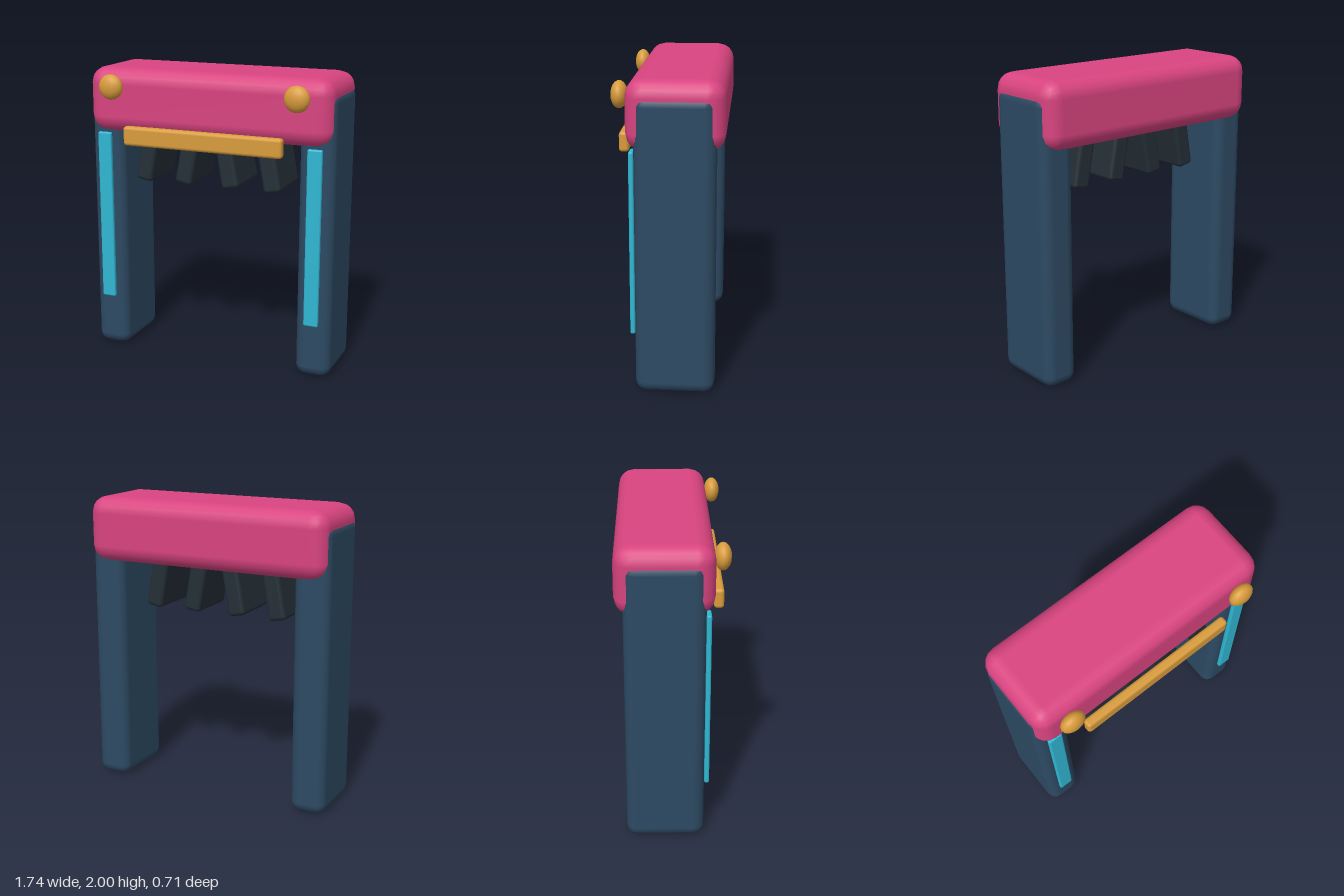
import * as THREE from 'three';
import { RoundedBoxGeometry } from 'three/addons/geometries/RoundedBoxGeometry.js';

function material(name, color) {
  const m = new THREE.MeshStandardMaterial({ color });
  m.name = name;
  return m;
}

export function createModel() {
  const model = new THREE.Group();
  model.name = 'gate';
  const pink = material('pink', 0xd94480);
  const navy = material('navy', 0x2d4a63);
  const gold = material('gold', 0xd99c3c);
  const cyan = material('cyan', 0x30b8d4);
  const charcoal = material('charcoal', 0x242f37);

  const add = (name, geometry, mat, x, y, z) => {
    const mesh = new THREE.Mesh(geometry, mat);
    mesh.name = name;
    mesh.position.set(x, y, z);
    model.add(mesh);
    return mesh;
  };
  const block = (w, h, d, r) => new RoundedBoxGeometry(w, h, d, 2, r);

  // Top beam and the trim bar in front of its lower edge
  add('beam', block(1.72, 0.44, 0.61, 0.11), pink, 0, 1.78, -0.05);
  add('trimBar', block(1.12, 0.13, 0.064, 0.022), gold, 0, 1.56, 0.29);

  const legGeometry = block(0.24, 1.91, 0.5, 0.07);
  const stripGeometry = block(0.1, 1.185, 0.032, 0.012);
  const studGeometry = new THREE.SphereGeometry(0.085, 16, 12);
  studGeometry.scale(1, 1, 0.62);
  const toothGeometry = block(0.12, 0.36, 0.38, 0.025);

  for (const [side, s] of [['left', 1], ['right', -1]]) {
    // Leg, light strip and stud
    add(side + 'Leg', legGeometry, navy, s * 0.75, 0.955, -0.05);
    add(side + 'LightStrip', stripGeometry, cyan, s * 0.75, 0.965, 0.218);
    add(side + 'Stud', studGeometry, gold, s * 0.65, 1.88, 0.3);

    // Teeth splayed outward beneath the beam
    for (const [name, x] of [['InnerTooth', 0.139], ['OuterTooth', 0.433]]) {
      add(side + name, toothGeometry, charcoal, s * x, 1.422, 0.03).rotation.z = s * 0.18;
    }
  }
  return model;
}
